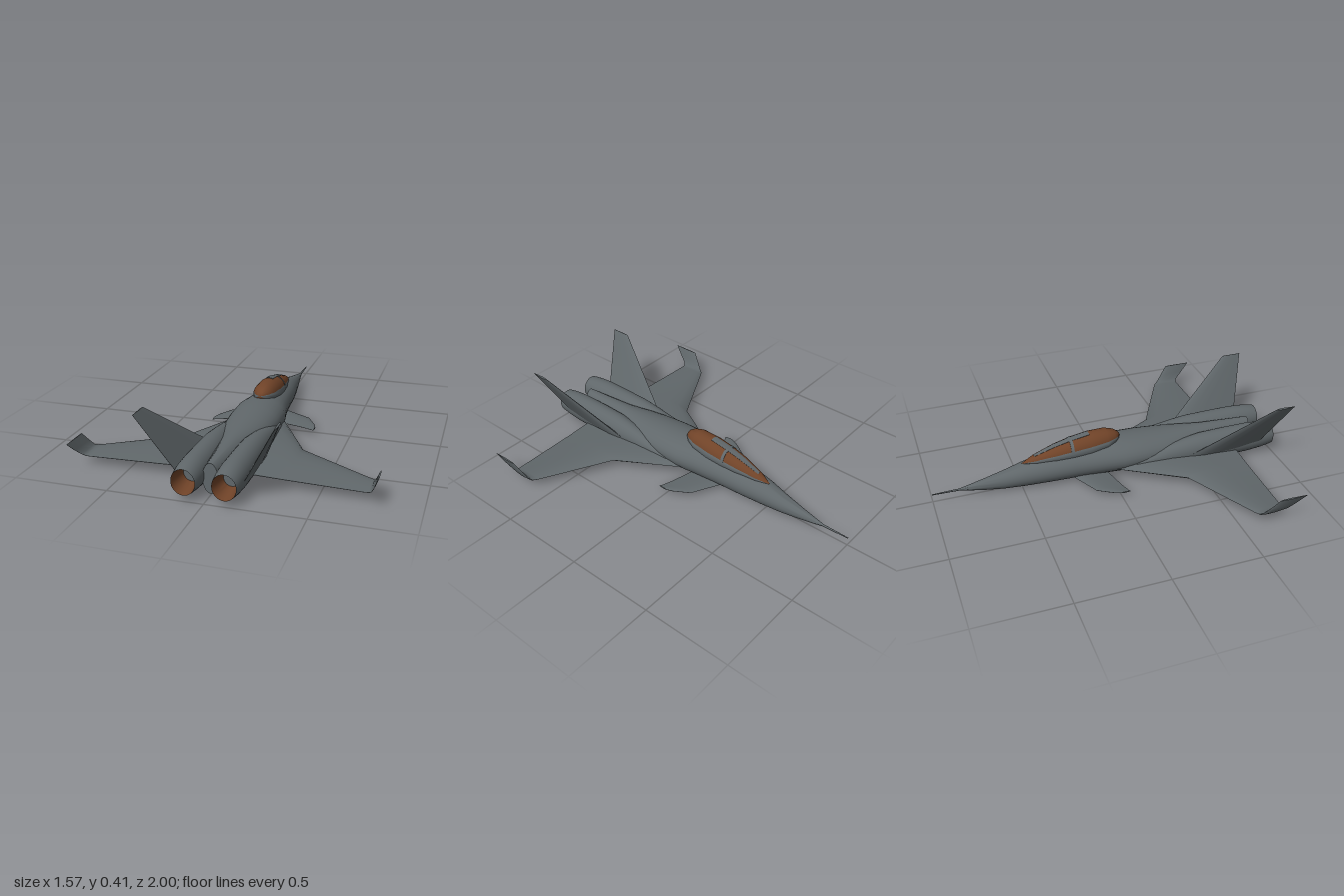
import * as THREE from 'three';
import { toCreasedNormals } from 'three/addons/utils/BufferGeometryUtils.js';

const SIDES = 32;

// Skin a list of closed rings (same point count); optional flat end caps.
function loft(rings, capStart = true, capEnd = true) {
  const n = rings[0].length, pos = [], idx = [];
  rings.forEach(r => r.forEach(p => pos.push(...p)));
  for (let i = 0; i < rings.length - 1; i++) {
    for (let j = 0; j < n; j++) {
      const a = i * n + j, b = i * n + (j + 1) % n;
      idx.push(a, b, b + n, a, b + n, a + n);
    }
  }
  const cap = (start, flip) => {
    for (let j = 1; j < n - 1; j++) {
      idx.push(start, start + (flip ? j + 1 : j), start + (flip ? j : j + 1));
    }
  };
  if (capStart) cap(0, true);
  if (capEnd) cap((rings.length - 1) * n, false);
  const g = new THREE.BufferGeometry();
  g.setAttribute('position', new THREE.Float32BufferAttribute(pos, 3));
  g.setIndex(idx);
  return g;
}

// Mirror across x = 0 and restore the winding.
function mirrored(geo) {
  const g = geo.clone().scale(-1, 1, 1), ix = g.index;
  for (let i = 0; i < ix.count; i += 3) {
    const t = ix.getX(i);
    ix.setX(i, ix.getX(i + 1));
    ix.setX(i + 1, t);
  }
  return g;
}

// Ellipse across z, with separate upper and lower heights.
function ellipse(z, cx, cy, rx, up, down = up) {
  return Array.from({ length: SIDES }, (_, i) => {
    const a = (i / SIDES) * Math.PI * 2, s = Math.sin(a);
    return [cx + rx * Math.cos(a), cy + s * (s > 0 ? up : down), z];
  });
}

// Wing surface from stations: x, y, leading z, trailing z, half thickness, roll.
const FOIL = [[0, 0], [0.05, 0.5], [0.2, 0.9], [0.4, 1], [0.7, 0.6], [1, 0.05]];
function wingGeometry(stations) {
  return loft(stations.map(([x, y, zl, zt, t, roll]) => {
    const at = (f, h) => [x - Math.sin(roll) * t * h, y + Math.cos(roll) * t * h, zl + (zt - zl) * f];
    const top = FOIL.map(([f, h]) => at(f, h));
    const bottom = FOIL.slice(1).reverse().map(([f, h]) => at(f, -h));
    return [...top, ...bottom];
  }));
}

// Thin curved plate lying on the canopy between two angles.
function canopyPlate(sections, halfAngle) {
  const n = 14;
  return loft(sections.map(([z, y, rx, h]) => {
    const arc = k => Array.from({ length: n + 1 }, (_, i) => {
      const a = Math.PI / 2 + halfAngle * (2 * i / n - 1);
      return [rx * k * Math.cos(a), y + h * k * Math.sin(a), z];
    });
    return [...arc(1.03), ...arc(0.96).reverse()];
  }));
}

export function createModel() {
  const model = new THREE.Group();
  const material = (name, color) => {
    const m = new THREE.MeshStandardMaterial({ color });
    m.name = name;
    return m;
  };
  const grey = material('hull grey', 0x60676a);
  const brown = material('tinted copper', 0x704328);
  brown.side = THREE.DoubleSide;

  const add = (name, geo, mat = grey, crease = 0.7) => {
    const mesh = new THREE.Mesh(toCreasedNormals(geo, crease), mat);
    mesh.name = name;
    model.add(mesh);
  };
  const addPair = (name, geo, mat = grey) => {
    add('left' + name, geo, mat);
    add('right' + name, mirrored(geo), mat);
  };

  // Fuselage with nose probe: z, centre y, half width, half height
  const hull = [
    [-1, 0.05, 0.003, 0.003], [-0.85, 0.05, 0.006, 0.006], [-0.8, 0.05, 0.014, 0.016],
    [-0.7, 0.053, 0.03, 0.035], [-0.6, 0.059, 0.048, 0.052], [-0.48, 0.073, 0.069, 0.07],
    [-0.35, 0.084, 0.088, 0.081], [-0.2, 0.093, 0.102, 0.09], [-0.05, 0.101, 0.122, 0.096],
    [0.07, 0.107, 0.145, 0.099], [0.2, 0.107, 0.144, 0.095], [0.33, 0.104, 0.135, 0.09],
    [0.45, 0.1, 0.115, 0.087], [0.6, 0.095, 0.075, 0.084], [0.9, 0.09, 0.04, 0.08],
  ];
  add('fuselage', loft(hull.map(([z, y, rx, ry]) => ellipse(z, 0, y, rx, ry))));

  // Engine nacelles: z, centre x, centre y, half width, half height
  const nacelle = [
    [0.08, 0.125, 0.07, 0.015, 0.01], [0.2, 0.117, 0.08, 0.036, 0.04], [0.33, 0.111, 0.087, 0.05, 0.06],
    [0.45, 0.106, 0.092, 0.062, 0.076], [0.55, 0.103, 0.096, 0.071, 0.085], [0.7, 0.102, 0.098, 0.073, 0.087],
    [0.85, 0.102, 0.1, 0.073, 0.086], [0.93, 0.102, 0.101, 0.07, 0.079], [0.98, 0.102, 0.101, 0.065, 0.071],
    [1, 0.102, 0.101, 0.061, 0.067],
  ];
  addPair('Nacelle', loft(nacelle.map(([z, x, y, rx, ry]) => ellipse(z, x, y, rx, ry)), true, false));

  // Exhaust lining and the turbine face inside it
  addPair('Exhaust', loft([
    ellipse(1, 0.102, 0.101, 0.061, 0.067),
    ellipse(0.96, 0.102, 0.101, 0.054, 0.058),
    ellipse(0.88, 0.102, 0.101, 0.042, 0.046),
  ], false, false), brown);
  addPair('Turbine', loft([
    ellipse(0.87, 0.102, 0.101, 0.044, 0.048),
    ellipse(0.882, 0.102, 0.101, 0.044, 0.048),
  ]));

  // Main wings, curling up into swept winglets
  addPair('Wing', wingGeometry([
    [0.09, 0.068, -0.03, 0.76, 0.03, 0], [0.15, 0.067, 0.07, 0.757, 0.028, 0],
    [0.325, 0.06, 0.38, 0.755, 0.02, 0], [0.715, 0.05, 0.593, 0.755, 0.011, 0.05],
    [0.738, 0.052, 0.607, 0.757, 0.01, 0.35], [0.752, 0.064, 0.63, 0.77, 0.008, 0.95],
    [0.766, 0.1, 0.66, 0.81, 0.006, 1.2], [0.783, 0.15, 0.7, 0.86, 0.004, 1.24],
  ]));

  // Small foreplanes
  addPair('Canard', wingGeometry([
    [0.06, 0.035, -0.22, -0.02, 0.014, 0], [0.235, 0.033, -0.13, 0.022, 0.008, 0],
    [0.285, 0.032, -0.045, 0.04, 0.006, 0], [0.3, 0.032, -0.005, 0.048, 0.004, 0],
  ]));

  // Outward canted tail fins
  addPair('TailFin', wingGeometry([
    [0.165, 0.09, 0.465, 0.9, 0.016, 1.09], [0.34, 0.413, 0.885, 1, 0.005, 1.09],
  ]));

  // Canopy: z, base y, half width, height
  const canopy = [
    [-0.49, 0.142, 0.004, 0.002], [-0.42, 0.153, 0.032, 0.027], [-0.3, 0.168, 0.056, 0.055],
    [-0.2, 0.178, 0.067, 0.071], [-0.1, 0.187, 0.071, 0.079], [0, 0.2, 0.064, 0.069],
    [0.05, 0.21, 0.046, 0.044], [0.075, 0.216, 0.026, 0.022], [0.085, 0.219, 0.006, 0.004],
  ];
  add('canopyGlass', loft(canopy.map(([z, y, rx, h]) => ellipse(z, 0, y, rx, h))), brown);
  add('canopyBase', loft(canopy.map(([z, y, rx, h]) => ellipse(z, 0, y, rx * 1.03, h * 0.75, h * 0.9))));

  // Canopy frame: centre strip and cross hoop
  add('canopyStrip', canopyPlate(canopy.slice(1, 5), 0.3));
  add('canopyHoop', canopyPlate([[-0.217, 0.1763, 0.0651, 0.0683], [-0.2, 0.178, 0.067, 0.071]], 1.5));

  return model;
}
